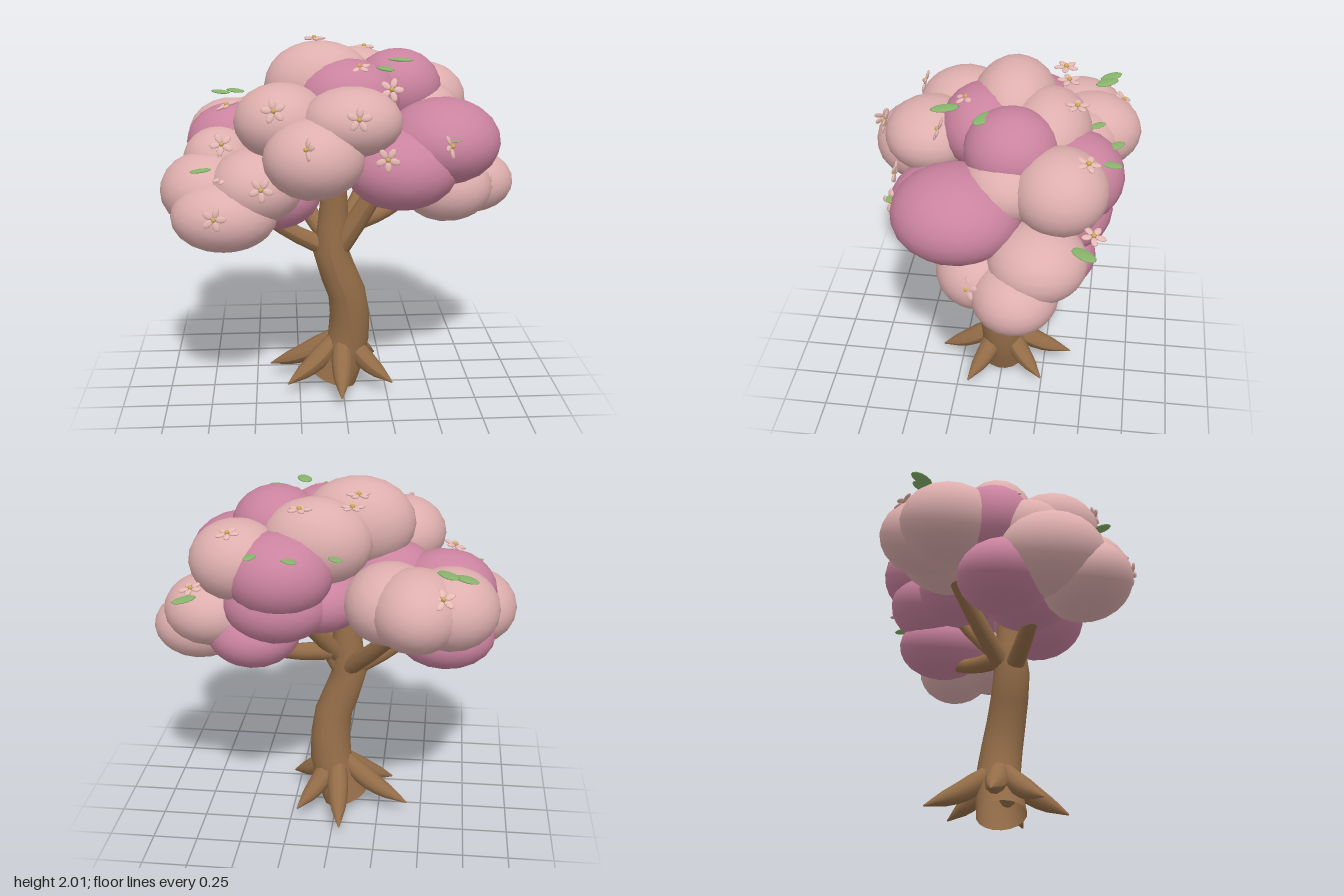
import * as THREE from 'three';

const mat = (name, color) => {
  const m = new THREE.MeshStandardMaterial({ color });
  m.name = name;
  return m;
};

export function createModel() {
  const bark = mat('bark', 0x946d48);
  const pale = mat('paleBlossom', 0xdeafae);
  const rose = mat('roseBlossom', 0xcb839f);
  const petalPink = mat('petalPink', 0xe6b9b4);
  const pollen = mat('pollenYellow', 0xd2ac55);
  const green = mat('leafGreen', 0x88b46c);
  bark.side = THREE.DoubleSide;

  const tree = new THREE.Group();
  tree.name = 'blossomTree';
  const V = (p) => new THREE.Vector3(...p);
  const add = (parent, name, geometry, material) => {
    const mesh = new THREE.Mesh(geometry, material);
    mesh.name = name;
    parent.add(mesh);
    return mesh;
  };
  const group = (name, parent = tree) => {
    const g = new THREE.Group();
    g.name = name;
    parent.add(g);
    return g;
  };

  // Tube along a curve whose radius follows a list of values
  function taperTube(points, radii, segments, sides) {
    const curve = new THREE.CatmullRomCurve3(points.map(V));
    const geo = new THREE.TubeGeometry(curve, segments, 1, sides);
    const pos = geo.attributes.position, v = new THREE.Vector3();
    for (let i = 0; i < pos.count; i++) {
      const t = Math.floor(i / (sides + 1)) / segments;
      const f = t * (radii.length - 1), k = Math.min(Math.floor(f), radii.length - 2);
      const r = THREE.MathUtils.lerp(radii[k], radii[k + 1], f - k);
      const c = curve.getPointAt(t);
      v.fromBufferAttribute(pos, i).sub(c).multiplyScalar(r).add(c);
      pos.setXYZ(i, v.x, v.y, v.z);
    }
    geo.computeVertexNormals();
    return geo;
  }

  // Leaning trunk
  add(tree, 'trunk', taperTube(
    [[-0.05, 0.04, 0], [0.035, 0.28, 0], [0.025, 0.58, 0.04], [-0.065, 0.82, 0.055], [-0.05, 1.02, 0.05], [-0.05, 1.4, 0.08]],
    [0.135, 0.12, 0.108, 0.1, 0.078, 0.06], 10, 18), bark);

  // Branches: start, end, radius
  const branches = group('branches');
  [
    [[-0.06, 0.84, 0.05], [-0.5, 1.12, 0.12], 0.055],
    [[-0.05, 0.86, 0.03], [-0.4, 1.32, -0.36], 0.055],
    [[-0.05, 0.82, 0.05], [0.24, 1.32, 0.12], 0.07],
    [[0.05, 0.98, 0.0], [0.4, 1.08, -0.2], 0.055],
    [[0.0, 0.95, 0.03], [0.28, 1.45, -0.3], 0.05],
  ].forEach(([a, b, r]) => {
    const mid = [(a[0] + b[0]) / 2, (a[1] + b[1]) / 2 - 0.02, (a[2] + b[2]) / 2];
    add(branches, 'branch', taperTube([a, mid, b], [r, r * 0.85, r * 0.7], 5, 12), bark);
  });

  // Pointed roots: tip x and z
  const roots = group('roots');
  [[-0.42, -0.12], [-0.32, 0.17], [-0.02, 0.37], [0.28, 0.18], [0.21, -0.25], [-0.05, -0.41]]
    .forEach(([x, z]) => add(roots, 'root', taperTube(
      [[x * 0.12, 0.28, z * 0.12], [x * 0.5, 0.165, z * 0.5], [x, 0.07, z]],
      [0.05, 0.062, 0.047, 0.004], 7, 10), bark));

  // Foliage puffs: centre, radii, material
  const canopy = group('canopy');
  const puff = new THREE.IcosahedronGeometry(1.01, 3);
  const clusters = {
    topPuffs: [
      [-0.12, 1.76, -0.05, 0.3, 0.24, 0.23, pale], [0.08, 1.71, -0.25, 0.29, 0.23, 0.22, pale],
      [0.03, 1.71, 0.09, 0.28, 0.21, 0.23, rose], [0.31, 1.74, -0.08, 0.24, 0.21, 0.24, rose],
      [0.41, 1.61, -0.07, 0.24, 0.18, 0.23, pale], [0.08, 1.39, -0.22, 0.26, 0.18, 0.25, rose],
    ],
    frontPuffs: [
      [-0.33, 1.62, 0.24, 0.25, 0.2, 0.26, pale], [-0.17, 1.47, 0.46, 0.26, 0.21, 0.26, pale],
      [0.03, 1.64, 0.38, 0.26, 0.18, 0.24, pale],
    ],
    roseSidePuffs: [
      [0.53, 1.49, 0.17, 0.31, 0.23, 0.33, rose], [0.3, 1.37, 0.29, 0.3, 0.22, 0.27, rose],
    ],
    rightSidePuffs: [
      [0.65, 1.32, -0.25, 0.25, 0.19, 0.25, pale], [0.74, 1.18, -0.15, 0.25, 0.18, 0.22, pale],
      [0.58, 1.2, 0.05, 0.25, 0.19, 0.22, pale], [0.42, 1.2, -0.27, 0.25, 0.18, 0.26, rose],
    ],
    backPuffs: [
      [0.48, 1.63, -0.34, 0.25, 0.21, 0.24, pale], [0.26, 1.58, -0.4, 0.28, 0.22, 0.25, rose],
      [0.28, 1.4, -0.36, 0.28, 0.2, 0.24, rose],
    ],
    backSidePuffs: [
      [-0.62, 1.42, -0.38, 0.25, 0.21, 0.26, pale], [-0.45, 1.43, -0.45, 0.24, 0.21, 0.28, pale],
      [-0.31, 1.42, -0.34, 0.24, 0.21, 0.27, pale],
      [-0.59, 1.43, -0.15, 0.27, 0.22, 0.22, rose], [-0.3, 1.45, -0.08, 0.26, 0.22, 0.24, rose],
    ],
    leftSidePuffs: [
      [-0.73, 1.23, 0.14, 0.26, 0.21, 0.28, pale], [-0.64, 1.14, 0.34, 0.28, 0.19, 0.24, pale],
      [-0.47, 1.28, 0.27, 0.25, 0.2, 0.26, pale], [-0.67, 1.37, 0.03, 0.2, 0.18, 0.2, pale],
      [-0.38, 1.19, 0.08, 0.26, 0.2, 0.25, rose], [-0.6, 1.15, -0.08, 0.27, 0.18, 0.25, rose],
    ],
  };
  for (const [name, puffs] of Object.entries(clusters)) {
    const cluster = group(name, canopy);
    puffs.forEach(([x, y, z, rx, ry, rz, m]) => {
      const mesh = add(cluster, 'puff', puff, m);
      mesh.position.set(x, y, z);
      mesh.scale.set(rx, ry, rz);
    });
  }

  // Five-petalled flowers: position, then facing direction
  const flowers = group('flowers');
  const petal = new THREE.SphereGeometry(1, 8, 6).scale(0.029, 0.008, 0.018).translate(0.037, 0, 0);
  const heart = new THREE.SphereGeometry(0.013, 8, 6);
  const up = new THREE.Vector3(0, 1, 0);
  [
    [[-0.68, 1.19, 0.58], [0, 0.1, 1]], [[-0.44, 1.33, 0.54], [0, 0.2, 1]],
    [[-0.65, 1.49, 0.2], [0, 0.5, 1]], [[-0.37, 1.72, 0.48], [0, 0.3, 1]],
    [[0.05, 1.7, 0.62], [0, 0.2, 1]], [[0.24, 1.79, 0.3], [0, 0.4, 1]],
    [[0.2, 1.48, 0.55], [0, 0.1, 1]], [[-0.21, 1.57, 0.69], [-1, 0.4, 0.6]],
    [[0.53, 1.53, 0.49], [0.8, 0.3, 0.5]], [[0.81, 1.24, 0.08], [1, 0.3, 0.5]],
    [[-0.14, 1.98, -0.31], [0, 1, 0]], [[-0.11, 1.92, -0.33], [0, 1, 0]], [[0.15, 1.92, -0.39], [0, 1, 0]],
    [[0.5, 1.81, -0.47], [0.1, 1, -0.2]], [[0.69, 1.53, -0.52], [0.2, 1, -0.2]],
    [[-0.58, 1.56, -0.62], [0, 0.8, -0.6]], [[-0.63, 1.65, -0.06], [-0.4, 1, 0]],
    [[-0.63, 1.36, 0.4], [-0.3, 1, 0.2]], [[0.08, 1.89, 0.18], [0, 1, 0.3]],
  ].forEach(([p, n], i) => {
    const flower = group('flower', flowers);
    flower.position.set(...p);
    flower.quaternion.setFromUnitVectors(up, V(n).normalize());
    for (let k = 0; k < 5; k++) {
      add(flower, 'petal', petal, petalPink).rotation.y = k * Math.PI * 0.4 + i;
    }
    add(flower, 'flowerHeart', heart, pollen).position.y = 0.006;
  });

  // Flat loose leaves: position, heading, length scale
  const leaves = group('leaves');
  const leaf = new THREE.SphereGeometry(1, 12, 8).scale(0.075, 0.009, 0.038);
  [
    [-0.69, 1.64, -0.54, -0.8, 1], [-0.6, 1.65, -0.52, -0.9, 1], [-0.04, 1.7, -0.49, -0.9, 0.7],
    [0.18, 1.72, -0.59, -0.8, 0.8], [0.37, 1.73, -0.58, 1.3, 0.75], [0.74, 1.45, -0.48, 0.9, 1],
    [0.31, 1.91, 0.06, -0.5, 1], [0.21, 1.895, 0.27, -1.2, 1], [-0.49, 1.66, 0.12, 0.1, 0.7],
    [-0.75, 1.4, 0.4, 0.6, 0.85], [0.55, 1.56, 0.5, 0.1, 0.4],
  ].forEach(([x, y, z, turn, s]) => {
    const mesh = add(leaves, 'leaf', leaf, green);
    mesh.position.set(x, y, z);
    mesh.rotation.y = turn;
    mesh.scale.setScalar(s);
  });

  return tree;
}
